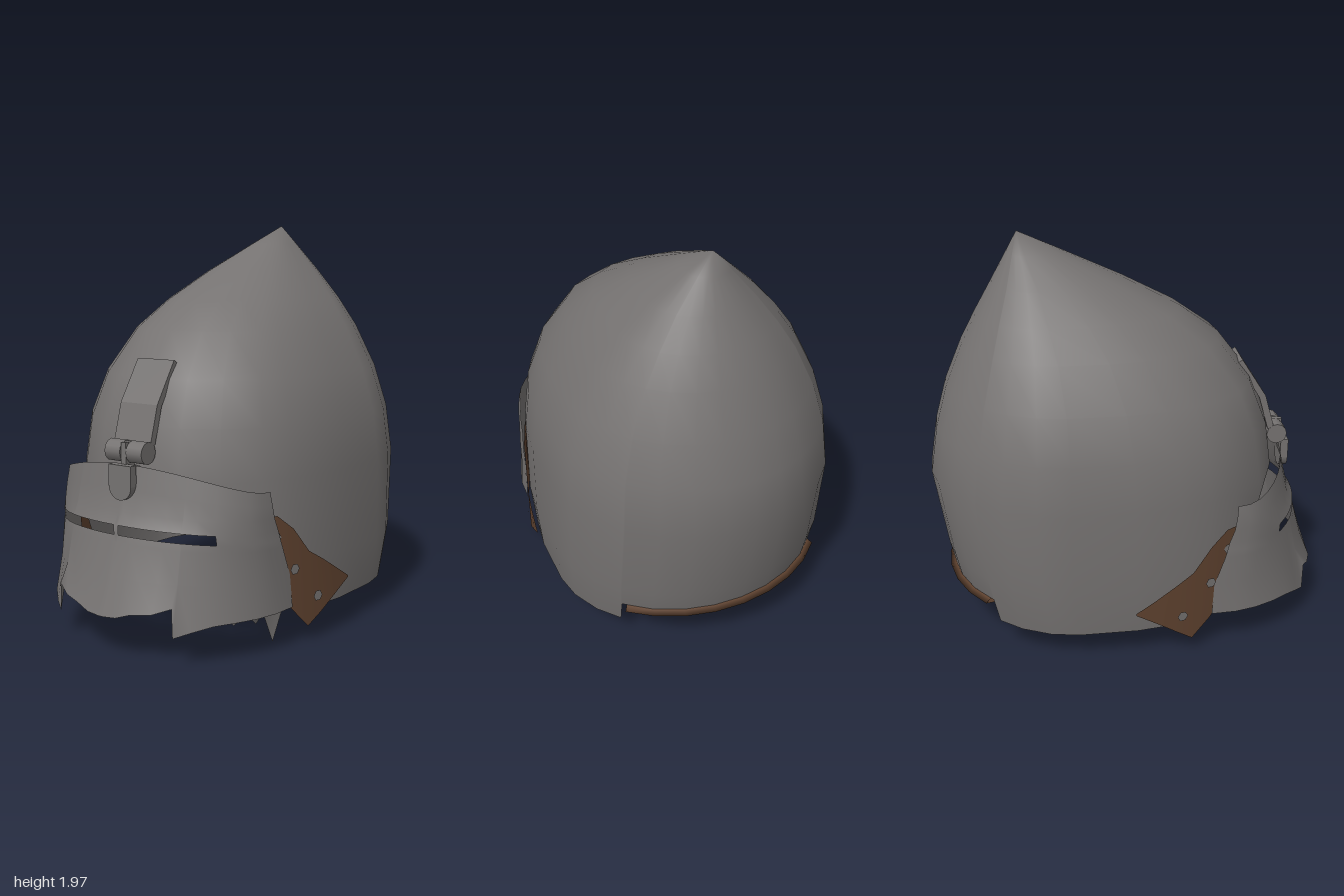
import * as THREE from 'three';
import { mergeVertices } from 'three/addons/utils/BufferGeometryUtils.js';

const steel = new THREE.MeshStandardMaterial({ color: 0x757271, side: THREE.DoubleSide });
steel.name = 'steel';
const leather = new THREE.MeshStandardMaterial({ color: 0x5f422f, side: THREE.DoubleSide });
leather.name = 'leather';

// Smooth surface through rows of [x, y, z] points; skip(r, c) leaves a hole.
function loft(rows, skip = () => false) {
  const n = rows[0].length, index = [];
  for (let r = 0; r < rows.length - 1; r++)
    for (let c = 0; c < n - 1; c++) {
      if (skip(r, c)) continue;
      const a = r * n + c, b = a + 1, d = a + n, e = d + 1;
      index.push(a, b, e, a, e, d);
    }
  let g = new THREE.BufferGeometry();
  g.setAttribute('position', new THREE.Float32BufferAttribute(rows.flat(2), 3));
  g.setIndex(index);
  g = mergeVertices(g, 1e-5);
  g.computeVertexNormals();
  return g;
}

// Skull levels: y, front z, back z, half width, z of the widest point
const LEVELS = [
  [0.155, 0.72, -0.88, 0.695, -0.27], [0.4, 0.76, -0.935, 0.72, -0.3],
  [0.8, 0.755, -1.0, 0.715, -0.3], [1.04, 0.72, -0.96, 0.685, -0.3],
  [1.25, 0.635, -0.9, 0.615, -0.31], [1.46, 0.47, -0.81, 0.5, -0.34],
  [1.6, 0.27, -0.735, 0.39, -0.38], [1.74, 0, -0.655, 0.26, -0.42],
  [1.88, -0.3, -0.576, 0.11, -0.48], [1.98, -0.52, -0.52, 0, -0.52],
];

// Point on the skull; angle runs from 0 at the back to 180 at the front
function skullPoint(deg, y) {
  let i = 0;
  while (i < LEVELS.length - 2 && y > LEVELS[i + 1][0]) i++;
  const A = LEVELS[i], B = LEVELS[i + 1], t = (y - A[0]) / (B[0] - A[0]);
  const [, zf, zb, w, zc] = A.map((v, k) => v + (B[k] - v) * t);
  const p = THREE.MathUtils.degToRad(deg), c = Math.cos(p), s = Math.sin(p);
  const k = c > 0 ? 1 : 2 / 2.4;
  const z = c > 0 ? zc + (zb - zc) * c : zc + (zf - zc) * Math.pow(-c, k);
  return [w * Math.sign(s) * Math.pow(Math.abs(s), k), y, z];
}

function mirrored(half) { // [key, value] list extended to negative keys
  return [...half.slice(1).reverse().map(([a, b]) => [-a, b]), ...half];
}

export function createModel() {
  const model = new THREE.Group();
  const add = (name, geometry, material = steel, parent = model) => {
    const m = new THREE.Mesh(geometry, material);
    m.name = name;
    parent.add(m);
    return m;
  };

  // Pointed skull: angle and height of the lower edge, with the face left open
  const edge = mirrored([[0, 0.28], [12, 0.28], [24, 0.28], [37, 0.28], [50, 0.28], [50.6, 0.155],
    [63, 0.155], [77, 0.155], [90, 0.155], [103, 0.155], [115, 0.155], [125, 0.3], [135, 0.5],
    [150, 0.7], [165, 0.82], [180, 0.86]]);
  add('skull', loft(LEVELS.map(([y]) => edge.map(([a, b]) => skullPoint(a, Math.max(y, b))))));

  // Leather strip under the back rim
  const strip = [-48, -36, -24, -12, 0, 12, 24, 36, 48];
  add('neckStrip', loft([[0.95, 0.285], [1.0, 0.275], [1.03, 0.26], [0.96, 0.245]].map(([k, y]) =>
    strip.map((a) => {
      const [x, , z] = skullPoint(a, 0.28);
      return [x * k, y, z * k];
    }))), leather);

  // Visor rows: centre y, side y, centre z, side z, half width
  const rows = [
    [0.87, 0.76, 0.8, 0.5, 0.58], [0.76, 0.7, 0.825, 0.495, 0.59], [0.66, 0.64, 0.85, 0.485, 0.595],
    [0.605, 0.575, 0.885, 0.46, 0.6], [0.56, 0.535, 0.885, 0.45, 0.605], [0.53, 0.5, 0.895, 0.44, 0.61],
    [0.38, 0.36, 0.94, 0.39, 0.62], [0, 0, 1.0, 0.38, 0.63],
  ];
  // Columns: share of the half width and height of the torn lower edge
  const columns = mirrored([[0, 0.21], [0.022, 0.21], [0.13, 0.215], [0.25, 0.24], [0.4, 0.25],
    [0.525, 0.28], [0.53, 0.145], [0.63, 0.17], [0.75, 0.195], [0.85, 0.2], [0.93, 0.2], [0.98, 0.2], [1, 0.2]]);
  const visor = rows.map(([yc, ys, zc, zs, w], r) => columns.map(([s, torn]) => [
    w * s,
    r === rows.length - 1 ? torn : ys + (yc - ys) * (1 - s * s),
    zs + (zc - zs) * Math.sqrt(1 - s * s),
  ]));
  const inSlit = (r, c) => {
    const mid = Math.abs(columns[c][0] + columns[c + 1][0]) / 2;
    return r === 3 && mid > 0.022 && mid < 0.75;
  };
  add('visor', loft(visor, inSlit));

  // Cheek pieces: z, x, lower y, upper y
  const cheek = [[0, 0.715, 0.262, 0.272], [0.1, 0.702, 0.205, 0.335], [0.2, 0.682, 0.14, 0.4],
    [0.28, 0.657, 0.085, 0.45], [0.37, 0.627, 0.18, 0.57], [0.45, 0.588, 0.28, 0.64], [0.53, 0.545, 0.36, 0.65]];
  for (const side of [1, -1]) {
    const name = side > 0 ? 'left' : 'right';
    add(name + 'CheekLeather', loft([0, 0.5, 1].map((t) =>
      cheek.map(([z, x, lo, hi]) => [side * x, lo + (hi - lo) * t, z]))), leather);

    // Flat six-sided studs on the leather
    for (const [z, y, x] of [[0.46, 0.54, 0.592], [0.37, 0.38, 0.636], [0.23, 0.225, 0.68]]) {
      const stud = add(name + 'Stud', new THREE.CircleGeometry(0.027, 6));
      stud.position.set(side * x, y, z);
      stud.rotation.y = side * 1.25;
    }

    // Torn inner flap below the visor edge; one side hangs lower
    const tip = side > 0 ? 0.01 : 0.11;
    const top = [[0.4, 0.28, 0.66], [0.46, 0.28, 0.6], [0.51, 0.28, 0.54], [0.55, 0.28, 0.47], [0.58, 0.28, 0.41], [0.6, 0.28, 0.37]];
    const low = [[0.4, 0.19, 0.64], [0.43, 0.125, 0.57], [0.47, 0.17, 0.52], [0.48, 0.11, 0.46], [0.5, 0.16, 0.43], [0.525, tip, 0.385]];
    add(name + 'TornFlap', loft([top, low].map((row) => row.map(([x, y, z]) => [side * x, y, z]))));
  }

  // Hinge on the brow
  const hinge = new THREE.Group();
  hinge.name = 'hinge';
  model.add(hinge);

  // Bent plate, drawn from the side and extruded across
  const bend = new THREE.Shape([[0.585, 1.335], [0.712, 1.14], [0.765, 0.96], [0.73, 0.96], [0.68, 1.13], [0.56, 1.32]]
    .map(([z, y]) => new THREE.Vector2(-z, y)));
  const plate = new THREE.ExtrudeGeometry(bend, { depth: 0.215, bevelEnabled: false });
  plate.translate(0, 0, -0.1075);
  plate.rotateY(Math.PI / 2);
  add('hingePlate', plate, steel, hinge);

  // Rolled knuckles either side of the slot
  for (const side of [1, -1]) {
    const knuckle = new THREE.CylinderGeometry(0.052, 0.052, 0.09, 12);
    knuckle.rotateZ(Math.PI / 2);
    add('hingeKnuckle', knuckle, steel, hinge).position.set(side * 0.063, 0.928, 0.78);
  }

  // Round-ended tongue riveted to the visor, with its narrow neck
  const outline = new THREE.Shape();
  outline.moveTo(0.065, 0.875);
  outline.lineTo(-0.065, 0.875);
  outline.lineTo(-0.065, 0.775);
  outline.absarc(0, 0.778, 0.065, Math.PI, Math.PI * 2, false);
  outline.closePath();
  const tongue = new THREE.ExtrudeGeometry(outline, { depth: 0.04, bevelEnabled: false, curveSegments: 8 });
  add('hingeTongue', tongue, steel, hinge).position.z = 0.815;
  add('hingeNeck', new THREE.BoxGeometry(0.028, 0.12, 0.06), steel, hinge).position.set(0, 0.915, 0.795);

  return model;
}
